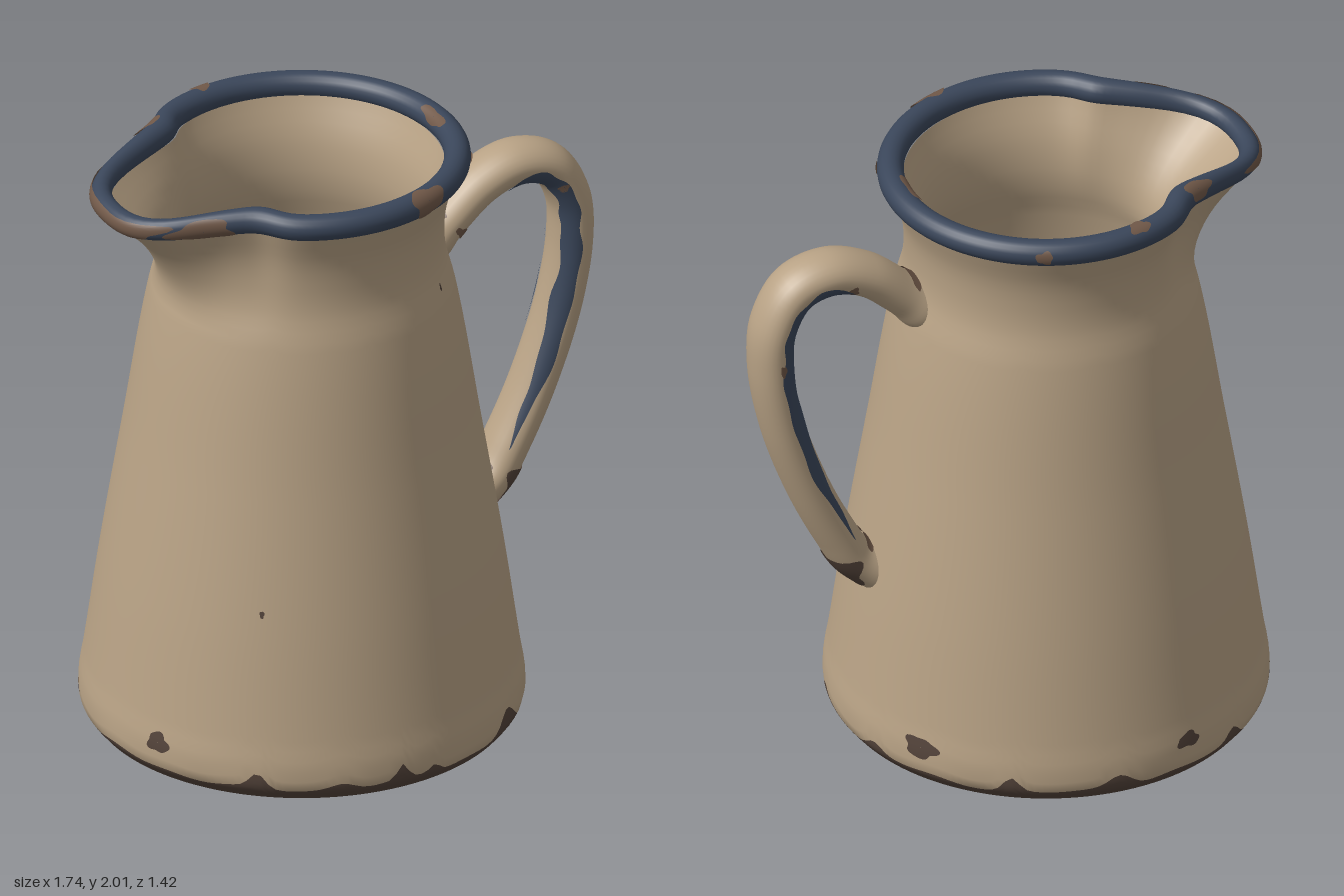
import * as THREE from 'three';
import { ParametricGeometry } from 'three/addons/geometries/ParametricGeometry.js';

const TAU = Math.PI * 2;
const CX = -0.155; // jug axis
const TOP = 1.93;
const { lerp } = THREE.MathUtils;

const material = (name, color, side = THREE.FrontSide) => {
  const m = new THREE.MeshStandardMaterial({ color, side });
  m.name = name;
  return m;
};

// Smooth radius-by-height profile from [height, radius] pairs
function profile(points) {
  const f = new THREE.CubicInterpolant(points.map(p => p[0]), points.map(p => p[1]), 1);
  return y => f.evaluate(y)[0];
}

const outerRadius = profile([[0, 0.675], [0.04, 0.705], [0.1, 0.71], [0.2, 0.695], [0.55, 0.645],
  [1, 0.572], [1.5, 0.488], [1.62, 0.458], [1.7, 0.453], [1.8, 0.463], [TOP, 0.505]]);
const innerRadius = profile([[0.06, 0.63], [0.2, 0.63], [0.55, 0.58], [1, 0.507], [1.5, 0.425],
  [1.62, 0.395], [1.7, 0.39], [1.8, 0.405], [TOP, 0.455]]);

// Spout strength around the jug: 1 at the tip, with a slight pinch on each side
function spout(phi) {
  const a = Math.abs(Math.atan2(Math.sin(phi), Math.cos(phi)));
  return Math.exp(-Math.pow(a / 0.47, 3)) - 0.13 * Math.exp(-(((a - 0.82) / 0.16) ** 2));
}

// Point at angle phi (0 is the spout) around the jug axis
const around = (phi, r, y) => [CX - r * Math.cos(phi), y, r * Math.sin(phi)];

// Wall surface: the spout grows out of the upper part
function wall(radius, phi, y, off = 0) {
  const pull = Math.pow(Math.max(0, (y - 1.55) / (TOP - 1.55)), 1.3) * spout(phi);
  return around(phi, radius(y) + 0.19 * pull + off, y - 0.04 * pull);
}
const body = (phi, y, off) => wall(outerRadius, phi, y, off);

// Rolled rim: beta runs around the roll
function rim(phi, beta, off = 0) {
  const s = spout(phi), t = 0.043 - 0.008 * s + off;
  return around(phi, 0.495 + 0.18 * s + t * Math.cos(beta), 1.952 - 0.045 * s + t * Math.sin(beta));
}

// Handle: oval section swept along a curve, alpha = 0 faces the jug
const handleCurve = new THREE.CatmullRomCurve3([
  [0.29, 1.56], [0.36, 1.62], [0.47, 1.71], [0.6, 1.755], [0.72, 1.72], [0.79, 1.6],
  [0.8, 1.45], [0.76, 1.22], [0.67, 0.96], [0.58, 0.77], [0.52, 0.67], [0.44, 0.61],
].map(([x, y]) => new THREE.Vector3(x, y, 0)));
function handle(alpha, t, off = 0) {
  const c = handleCurve.getPoint(t), d = handleCurve.getTangent(t);
  const flare = 0.012 * (Math.exp(-((t / 0.05) ** 2)) + Math.exp(-(((1 - t) / 0.05) ** 2)));
  const a = (0.069 + flare + off) * Math.cos(alpha);
  return [c.x + d.y * a, c.y - d.x * a, -(0.096 + flare + off) * Math.sin(alpha)];
}

// Upper limit of the worn band at the foot
const bumps = [[0.9, 0.05, 0.05], [1.29, 0.025, 0.08], [1.57, 0.05, 0.035], [1.74, 0.03, 0.04],
  [2.27, 0.065, 0.09], [2.9, 0.035, 0.07], [3.43, 0.03, 0.07], [4.15, 0.05, 0.05],
  [4.65, 0.05, 0.08], [5.3, 0.045, 0.06], [5.85, 0.05, 0.07]];
function wornEdge(phi) {
  let y = 0.042 + 0.005 * Math.sin(9 * phi) + 0.004 * Math.sin(17 * phi);
  for (const [at, height, width] of bumps) y += height * Math.exp(-(((phi - at) / width) ** 2));
  return y;
}

const surface = (fn, nu, nv) =>
  new ParametricGeometry((u, v, target) => target.set(...fn(u, v)), nu, nv);

// Irregular blob lying just above a surface
function blob(surf, u0, v0, ru, rv) {
  return surface((p, q) => {
    const th = q * TAU;
    const w = (0.02 + 0.98 * p) * (1 + 0.15 * Math.sin(3 * th + u0 * 7) + 0.09 * Math.sin(5 * th + v0 * 11));
    return surf(u0 + ru * w * Math.cos(th), v0 + rv * w * Math.sin(th), 0.004);
  }, 8, 36);
}

export function createModel() {
  const group = new THREE.Group();
  const cream = material('cream enamel', 0xb8a285);
  const blue = material('blue enamel', 0x3a465a);
  const dark = material('dark worn metal', 0x53433a, THREE.DoubleSide);
  const rust = material('brown rust', 0x705848, THREE.DoubleSide);
  const add = (name, geometry, mat) => {
    const mesh = new THREE.Mesh(geometry, mat);
    mesh.name = name;
    group.add(mesh);
    return mesh;
  };

  // Jug walls, split at the worn foot line
  add('outerWall', surface((u, v) => body(u * TAU, lerp(wornEdge(u * TAU), TOP, v)), 192, 56), cream);
  add('wornFoot', surface((u, v) => body(u * TAU, lerp(0, wornEdge(u * TAU), v)), 192, 6), dark);
  add('innerWall', surface((u, v) => wall(innerRadius, u * TAU, lerp(TOP, 0.06, v)), 96, 48), cream);

  // Floor and underside
  const floor = add('innerFloor', new THREE.CircleGeometry(0.63, 64), cream);
  floor.rotation.x = -Math.PI / 2;
  floor.position.set(CX, 0.06, 0);
  const underside = add('underside', new THREE.CircleGeometry(0.675, 96), cream);
  underside.rotation.x = Math.PI / 2;
  underside.position.x = CX;

  // Rolled rim
  add('rim', surface((u, v) => rim(u * TAU, v * TAU), 128, 20), blue);

  // Handle with blue stripes along both inner edges
  add('handle', surface((u, v) => handle(u * TAU, v), 28, 80), cream);
  for (const side of [-1, 1]) {
    add('handleStripe', surface((u, v) => {
      const t = lerp(0.22, 0.83, v);
      const taper = Math.min(1, v * 9, (1 - v) * 3.5);
      const middle = 1.02 + 0.05 * Math.sin(t * 47);
      const half = taper * (0.42 + 0.05 * Math.sin(t * 83)) + 0.01;
      return handle(side * middle + (u * 2 - 1) * half, t, 0.004);
    }, 8, 80), blue);
  }

  // Chips: [surface, along, across, size along, size across]
  const chips = {
    bodyChip: [dark, body, [
      [0.4, 0.13, 0.06, 0.033], [3.71, 0.135, 0.085, 0.035], [5.0, 0.14, 0.06, 0.025],
      [2.3, 1.57, 0.012, 0.014], [0.9, 0.63, 0.012, 0.012]]],
    handleFootChip: [dark, handle, [[Math.PI, 0.91, 1.5, 0.055]]],
    handleRust: [rust, handle, [
      [0, 0.9, 0.8, 0.03], [Math.PI, 0.085, 0.8, 0.02], [1.1, 0.23, 0.3, 0.014],
      [-1.2, 0.4, 0.25, 0.01], [1.45, 0.53, 0.15, 0.012], [-1.2, 0.08, 0.4, 0.015]]],
    rimRust: [rust, rim, [
      [0, -0.1, 0.36, 0.95], [0.53, -0.2, 0.15, 0.9], [1.96, 0.5, 0.13, 1.1], [-1.35, 1.3, 0.07, 0.6],
      [-0.75, 0.7, 0.1, 0.8], [3.12, 2.3, 0.16, 0.5], [4.3, 0.1, 0.05, 0.5], [2.7, -0.4, 0.05, 0.4]]],
  };
  for (const [name, [mat, surf, list]] of Object.entries(chips)) {
    for (const c of list) add(name, blob(surf, ...c), mat);
  }
  return group;
}
